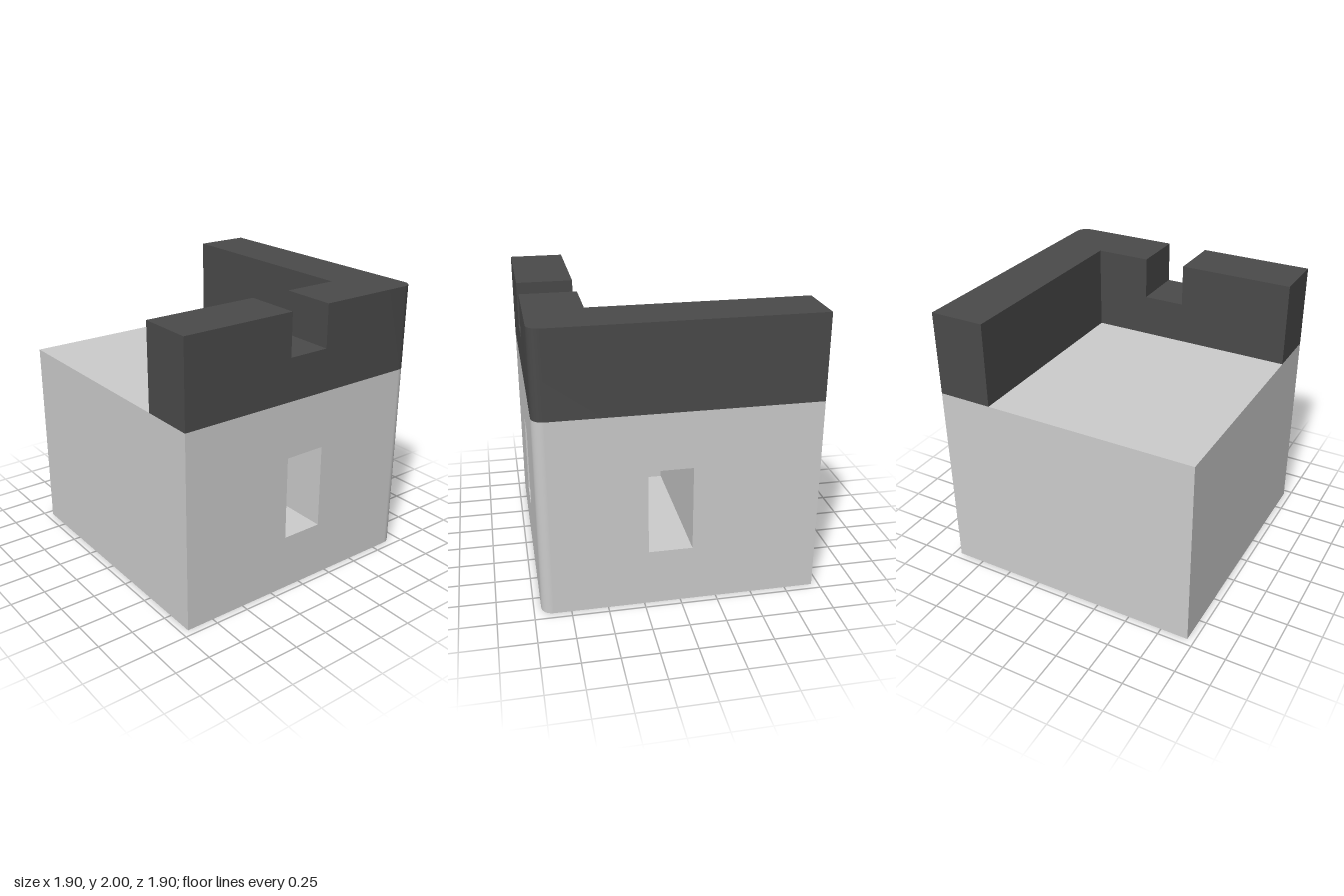
import * as THREE from 'three';
import { mergeGeometries, toCreasedNormals } from 'three/addons/utils/BufferGeometryUtils.js';

const H = 0.95, R = 0.08;              // half width, corner radius
const BASE = 1.4, TOP = 2, INNER = 0.56; // block height, parapet top, parapet inner face
const SILL = 0.4, LINTEL = 1.0;

const poly = (pts, sign = 1) => new THREE.Shape(pts.map(([x, y]) => new THREE.Vector2(x, sign * y)));

// Rounded back corner at +x, -z as [x, z] points
const corner = Array.from({ length: 9 }, (_, i) => {
  const a = (i / 8) * Math.PI / 2;
  return [H - R + R * Math.cos(a), -H + R - R * Math.sin(a)];
});

// Horizontal face from an [x, z] outline
function flat(pts, y, up) {
  const s = up ? -1 : 1;
  return new THREE.ShapeGeometry(poly(pts, s)).rotateX(s * Math.PI / 2).translate(0, y, 0);
}

// Upright face of the block, turned about y, with an optional window from u0 to u1
function panel(from, to, turn, window) {
  const shape = poly([[from, 0], [to, 0], [to, BASE], [from, BASE]]);
  if (window) {
    const [a, b] = window;
    shape.holes.push(poly([[a, SILL], [a, LINTEL], [b, LINTEL], [b, SILL]]));
  }
  return new THREE.ShapeGeometry(shape).translate(0, 0, H).rotateY(turn);
}

// Upright wall between two [x, z] points
function wall([x0, z0], [x1, z1]) {
  const dx = x1 - x0, dz = z1 - z0;
  return new THREE.PlaneGeometry(Math.hypot(dx, dz), LINTEL - SILL)
    .rotateY(Math.atan2(-dz, dx))
    .translate((x0 + x1) / 2, (SILL + LINTEL) / 2, (z0 + z1) / 2);
}

export function createModel() {
  const group = new THREE.Group();
  const stone = new THREE.MeshStandardMaterial({ color: 0xcccccc });
  const inside = new THREE.MeshStandardMaterial({ color: 0xcccccc, side: THREE.DoubleSide });
  const dark = new THREE.MeshStandardMaterial({ color: 0x4a4a4a });
  const add = (name, geometry, material) => {
    const mesh = new THREE.Mesh(geometry, material);
    mesh.name = name;
    group.add(mesh);
  };

  // Main block: four sides, rounded corner, top and underside
  const outline = [[-H, H], [H, H], ...corner, [-H, -H]];
  add('block', mergeGeometries([
    panel(-H, H, 0),
    panel(-H, H, -Math.PI / 2),
    panel(-H, H - R, Math.PI / 2, [-0.135, 0.165]),
    panel(-H + R, H, Math.PI, [-0.22, 0.08]),
    new THREE.CylinderGeometry(R, R, BASE, 8, 1, true, Math.PI / 2, Math.PI / 2)
      .translate(H - R, BASE / 2, -H + R),
    flat(outline, BASE, true),
    flat(outline, 0, false),
  ]), stone);

  // Deep window openings on the right and back, meeting inside
  const cut = [[H, 0.135], [-0.08, 0.135], [-0.08, -H], [0.22, -H], [0.22, -0.165], [H, -0.165]];
  add('windowRecess', mergeGeometries([
    flat(cut, SILL, true),
    flat(cut, LINTEL, false),
    ...[0, 1, 3, 4].map((i) => wall(cut[i], cut[i + 1])),
  ]), inside);

  // Back parapet, including the rounded corner
  const back = new THREE.ExtrudeGeometry(
    poly([[-H, -INNER], [H, -INNER], ...corner, [-H, -H]], -1),
    { depth: TOP - BASE, bevelEnabled: false },
  ).rotateX(-Math.PI / 2).translate(0, BASE, 0);
  add('backParapet', toCreasedNormals(back, 0.6), dark);

  // Right parapet with its notch, drawn as a side profile of [-z, y]
  const profile = [[-H, BASE], [INNER, BASE], [INNER, TOP], [0.165, TOP],
    [0.165, 1.7], [-0.135, 1.7], [-0.135, TOP], [-H, TOP]];
  const right = new THREE.ExtrudeGeometry(poly(profile), { depth: H - INNER, bevelEnabled: false })
    .rotateY(Math.PI / 2).translate(INNER, 0, 0);
  add('rightParapet', right, dark);

  return group;
}
